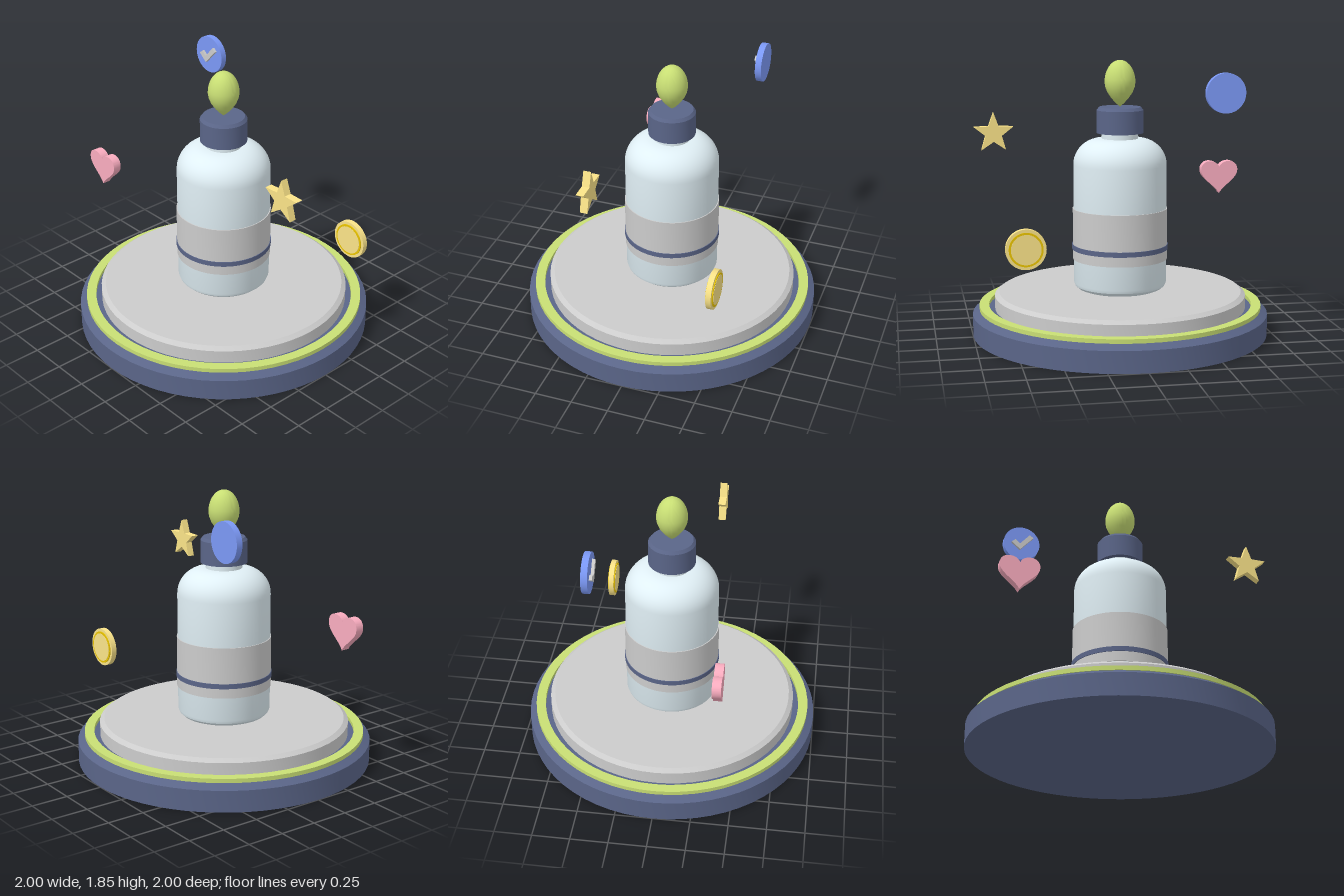
import * as THREE from 'three';
import { toCreasedNormals } from 'three/addons/utils/BufferGeometryUtils.js';

const NAVY = 0x5a6588, LIME = 0xc8de74, GREY = 0xcccccc, GLASS = 0xe0eff5;
const GOLD = 0xfae388, DARK_GOLD = 0xeac400, BLUE = 0x7b98f5, PINK = 0xf9acbf;

const P = (x, y) => new THREE.Vector2(x, y);

function mesh(name, geometry, color) {
  const m = new THREE.Mesh(geometry, new THREE.MeshStandardMaterial({ color }));
  m.name = name;
  return m;
}

// Turned part from [radius, height] pairs, listed from bottom to top
function turned(name, profile, color) {
  const g = new THREE.LatheGeometry(profile.map(([r, y]) => P(r, y)), 64);
  return mesh(name, toCreasedNormals(g, 0.45), color);
}

// Flat shape extruded from z0 to z1
function slab(name, shape, z0, z1, color) {
  const g = new THREE.ExtrudeGeometry(shape, { depth: z1 - z0, bevelEnabled: false, curveSegments: 16 });
  g.translate(0, 0, z0);
  return mesh(name, toCreasedNormals(g, 0.45), color);
}

// Upright disc facing z
function disc(name, radius, halfDepth, color) {
  const g = new THREE.CylinderGeometry(radius, radius, halfDepth * 2, 48);
  g.rotateX(Math.PI / 2);
  return mesh(name, g, color);
}

function starShape(outer, inner) {
  const pts = [];
  for (let i = 0; i < 10; i++) {
    const a = Math.PI / 2 + i * Math.PI / 5, r = i % 2 ? inner : outer;
    pts.push(P(r * Math.cos(a), r * Math.sin(a)));
  }
  return new THREE.Shape(pts);
}

function heartShape() {
  const s = new THREE.Shape();
  s.moveTo(0, -0.13);
  s.bezierCurveTo(0.03, -0.07, 0.132, -0.03, 0.132, 0.037);
  s.bezierCurveTo(0.132, 0.077, 0.104, 0.1, 0.07, 0.1);
  s.bezierCurveTo(0.035, 0.1, 0.01, 0.085, 0, 0.058);
  s.bezierCurveTo(-0.01, 0.085, -0.035, 0.1, -0.07, 0.1);
  s.bezierCurveTo(-0.104, 0.1, -0.132, 0.077, -0.132, 0.037);
  s.bezierCurveTo(-0.132, -0.03, -0.03, -0.07, 0, -0.13);
  return s;
}

function placed(name, x, y, z, ...parts) {
  const g = new THREE.Group();
  g.name = name;
  g.position.set(x, y, z);
  g.add(...parts);
  return g;
}

export function createModel() {
  const model = new THREE.Group();
  model.name = 'bottleOnPedestal';

  // Pedestal
  model.add(
    turned('pedestalBase', [[0, 0], [1, 0], [1, 0.145], [0.945, 0.18], [0, 0.18]], NAVY),
    turned('pedestalRing', [[0.89, 0.178], [0.955, 0.178], [0.955, 0.206], [0.89, 0.206], [0.89, 0.178]], LIME),
    turned('pedestalTop', [[0, 0.175], [0.85, 0.175], [0.85, 0.268], [0.82, 0.29], [0, 0.29]], GREY)
  );

  // Bottle body with rounded shoulder
  const body = [[0, 0.3], [0.26, 0.3], [0.285, 0.31], [0.305, 0.328], [0.313, 0.35], [0.313, 1.15]];
  for (let i = 1; i <= 12; i++) {
    const a = i / 12 * Math.PI / 2;
    body.push([0.133 + 0.18 * Math.cos(a), 1.15 + 0.175 * Math.sin(a)]);
  }
  body.push([0, 1.325]);

  // Drop: pointed below, rounded above
  const drop = [[0, 1.537], [0.025, 1.558], [0.055, 1.59], [0.083, 1.63], [0.098, 1.667]];
  for (let i = 0; i <= 12; i++) {
    const a = i / 12 * Math.PI / 2;
    drop.push([0.103 * Math.cos(a), 1.7 + 0.147 * Math.sin(a)]);
  }

  model.add(
    turned('bottleBody', body, GLASS),
    turned('label', [[0.31, 0.51], [0.319, 0.51], [0.319, 0.855], [0.31, 0.855]], GREY),
    turned('labelStripe', [[0.31, 0.577], [0.324, 0.577], [0.324, 0.61], [0.31, 0.61]], NAVY),
    turned('bottleNeck', [[0, 1.31], [0.122, 1.31], [0.122, 1.37], [0, 1.37]], GLASS),
    turned('bottleCap', [[0, 1.362], [0.156, 1.362], [0.156, 1.515], [0.14, 1.535], [0, 1.535]], NAVY),
    turned('drop', drop, LIME)
  );

  // Floating tick badge
  const tick = new THREE.Shape([
    P(-0.075, -0.003), P(-0.049, 0.02), P(-0.016, -0.011),
    P(0.054, 0.067), P(0.08, 0.045), P(-0.013, -0.056)
  ]);
  model.add(placed('tickBadge', -0.61, 1.655, -0.436,
    disc('badgeDisc', 0.13, 0.021, BLUE),
    slab('tick', tick, 0.015, 0.04, GREY)));

  // Floating coin, the same on both faces
  model.add(placed('coin', 0.695, 0.7, -0.522,
    disc('coinDisc', 0.13, 0.018, GOLD),
    disc('coinRing', 0.11, 0.024, DARK_GOLD),
    disc('coinFace', 0.097, 0.026, GOLD)));

  // Floating star and heart
  model.add(
    placed('starCharm', 0.824, 1.347, 0.257, slab('star', starShape(0.14, 0.058), -0.025, 0.025, GOLD)),
    placed('heartCharm', -0.783, 1.0, 0.392, slab('heart', heartShape(), -0.029, 0.029, PINK))
  );
  return model;
}
